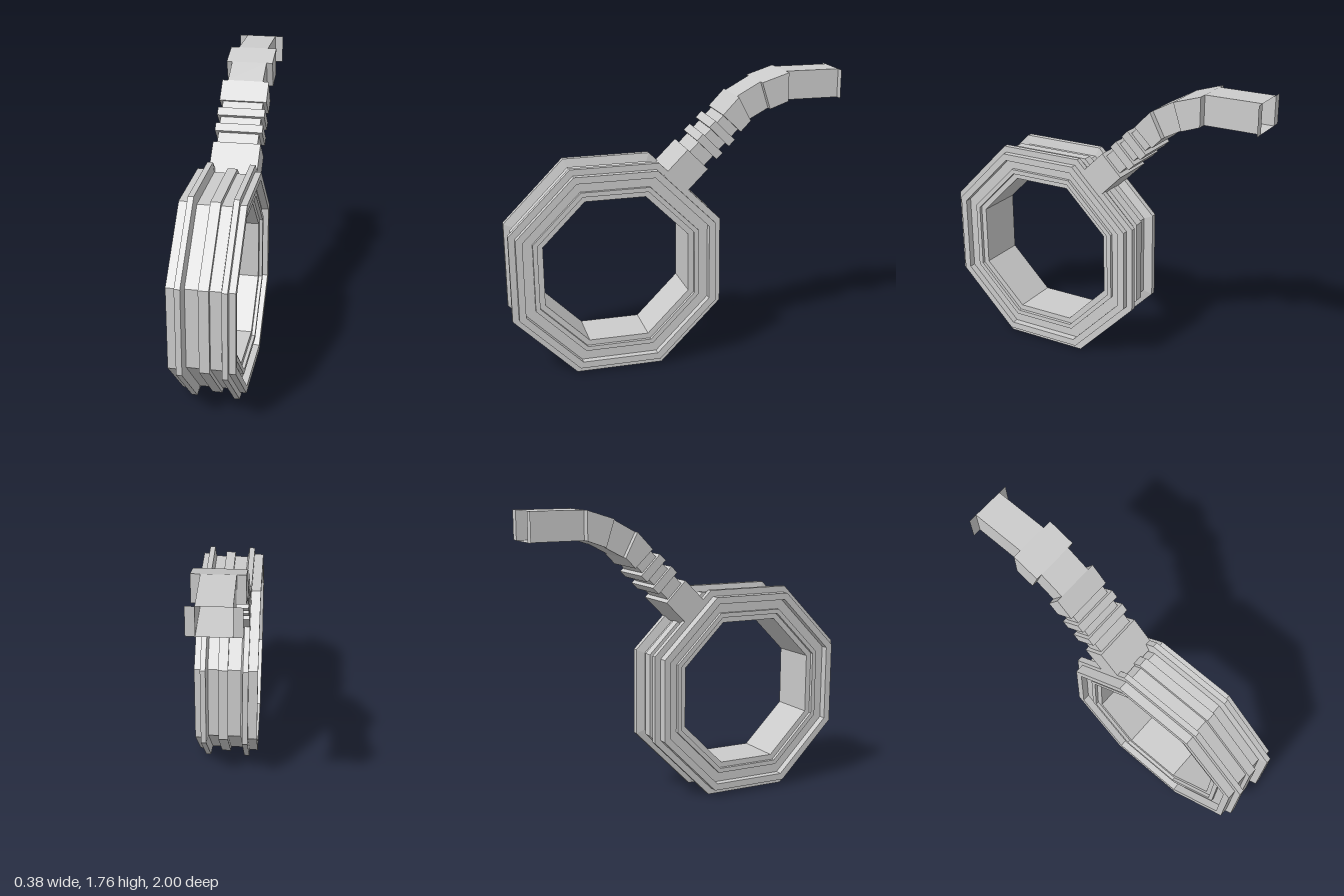
import * as THREE from 'three';

const material = new THREE.MeshStandardMaterial({ color: 0xcccccc, flatShading: true, side: THREE.DoubleSide });

// Extrudes a [z, y] outline sideways from x0 to x1
function prism(name, points, x0, x1) {
  const shape = new THREE.Shape(points.map(([z, y]) => new THREE.Vector2(-z, y)));
  const geo = new THREE.ExtrudeGeometry(shape, { depth: x1 - x0, bevelEnabled: false });
  geo.rotateY(Math.PI / 2).translate(x0, 0, 0);
  const mesh = new THREE.Mesh(geo, material);
  mesh.name = name;
  return mesh;
}

// Straight part of the arm, from s0 to s1 along the 45 degree centre line
function armBlock(name, s0, s1, thickness, x0, x1) {
  const k = Math.SQRT1_2, h = thickness / 2;
  const at = (s, t) => [-s * k + t * k, 1.155 + s * k + t * k];
  return prism(name, [at(s0, h), at(s1, h), at(s1, -h), at(s0, -h)], x0, x1);
}

// Octagonal ring: closed [apothem, x] section turned about the x axis
function createRing() {
  const section = [
    [0.435, -0.145], [0.468, -0.145], [0.468, -0.165], [0.495, -0.165], [0.495, -0.145],
    [0.555, -0.145], [0.555, -0.19], [0.595, -0.19], [0.595, -0.135],
    [0.632, -0.135], [0.632, -0.102], [0.58, -0.09],
    [0.58, -0.013], [0.605, -0.013], [0.605, 0.045], [0.58, 0.045],
    [0.58, 0.107], [0.632, 0.118], [0.632, 0.15],
    [0.595, 0.15], [0.595, 0.187], [0.555, 0.187], [0.555, 0.145],
    [0.495, 0.145], [0.495, 0.165], [0.468, 0.165], [0.468, 0.145], [0.435, 0.145],
    [0.435, -0.145],
  ].map(([a, x]) => new THREE.Vector2(a / Math.cos(Math.PI / 8), x));
  const geo = new THREE.LatheGeometry(section, 8, Math.PI / 8).toNonIndexed();
  geo.rotateZ(-Math.PI / 2).rotateX(0.008).translate(0, 0.635, 0.37);
  geo.computeVertexNormals();
  const ring = new THREE.Mesh(geo, material);
  ring.name = 'octagonalRing';
  return ring;
}

// Open-ended square pipe with two thin side wings at its mouth
function createPipe() {
  const pipe = new THREE.Group();
  pipe.name = 'openPipe';
  const [x0, x1, y0, y1, z0, z1] = [-0.085, 0.1, 1.59, 1.76, -0.67, -1];
  const addPlate = (name, w, h, x, y, z, rx, ry) => {
    const mesh = new THREE.Mesh(new THREE.PlaneGeometry(w, h), material);
    mesh.name = name;
    mesh.position.set(x, y, z);
    mesh.rotation.set(rx, ry, 0);
    pipe.add(mesh);
  };
  const len = z0 - z1, zm = (z0 + z1) / 2, xm = (x0 + x1) / 2, ym = (y0 + y1) / 2;
  addPlate('pipeTop', x1 - x0, len, xm, y1, zm, -Math.PI / 2, 0);
  addPlate('pipeBottom', x1 - x0, len, xm, y0, zm, Math.PI / 2, 0);
  addPlate('pipeSideLeft', len, y1 - y0, x1, ym, zm, 0, Math.PI / 2);
  addPlate('pipeSideRight', len, y1 - y0, x0, ym, zm, 0, -Math.PI / 2);
  addPlate('mouthWingLeft', 0.05, y1 - y0, x1 + 0.025, ym, z1, 0, Math.PI);
  addPlate('mouthWingRight', 0.05, y1 - y0, x0 - 0.025, ym, z1, 0, Math.PI);
  return pipe;
}

export function createModel() {
  const model = new THREE.Group();
  model.name = 'ringWithArm';
  model.add(createRing());

  // Arm base, ribbed neck and collar
  const wide = [-0.135, 0.152];
  model.add(armBlock('armBase', -0.04, 0.17, 0.175, ...wide));
  model.add(armBlock('armNeck', 0.16, 0.47, 0.125, -0.115, 0.13));
  for (const s of [0.245, 0.35]) model.add(armBlock('neckRib', s, s + 0.052, 0.17, ...wide));
  model.add(prism('armCollar', [[-0.27, 1.53], [-0.365, 1.63], [-0.44, 1.487], [-0.38, 1.425]], ...wide));

  // Bend: narrow wedge, then wide wedge levelling out
  model.add(prism('bendNarrow', [[-0.365, 1.63], [-0.507, 1.708], [-0.558, 1.55], [-0.44, 1.487]], -0.1, 0.115));
  model.add(prism('bendWide', [[-0.507, 1.708], [-0.67, 1.76], [-0.67, 1.59], [-0.558, 1.55]], ...wide));

  model.add(createPipe());
  return model;
}
